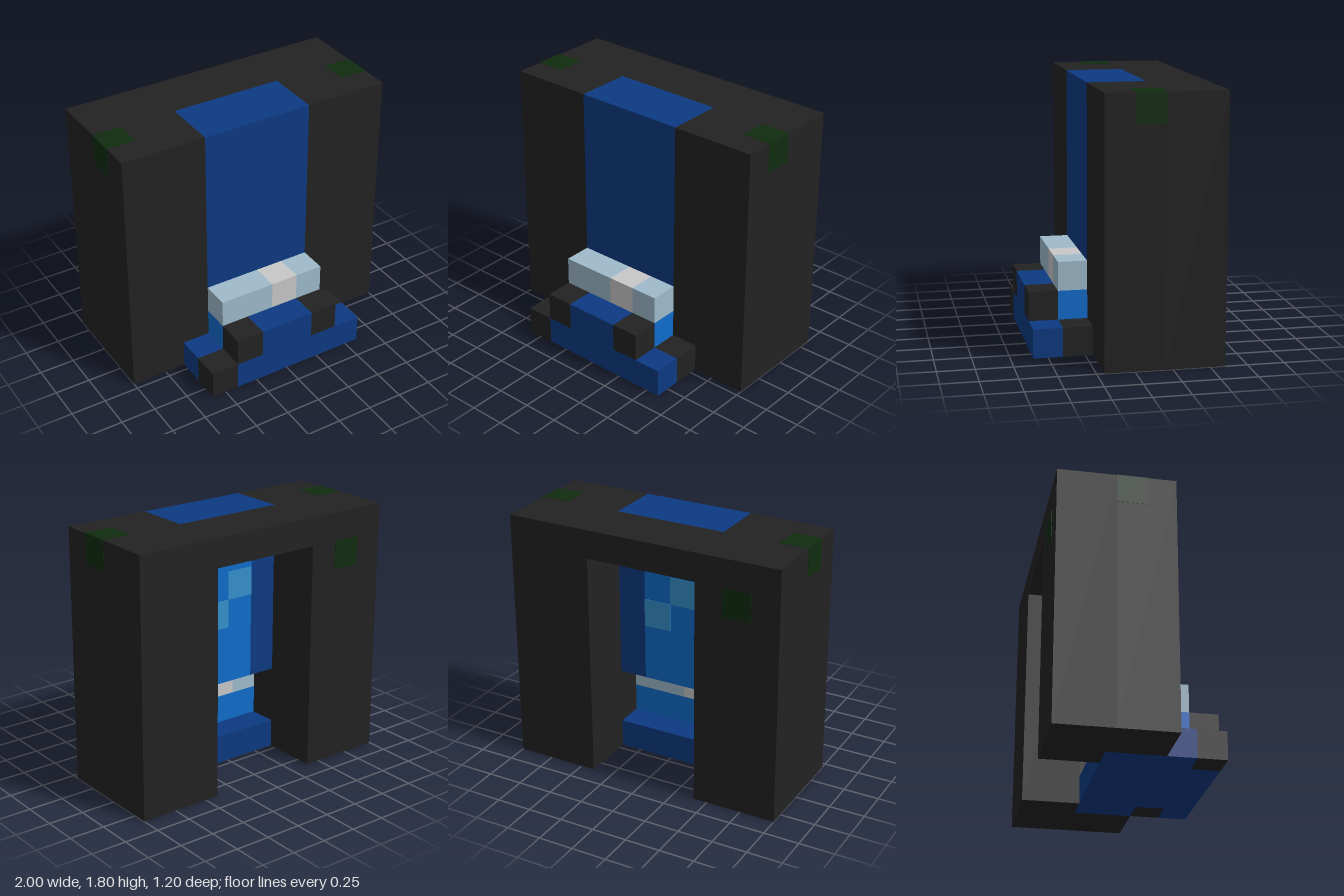
import * as THREE from 'three';

const U = 0.2; // block size

export function createModel() {
  const group = new THREE.Group();
  const mat = (name, color) => {
    const m = new THREE.MeshStandardMaterial({ color });
    m.name = name;
    return m;
  };
  const stone = mat('dark stone', 0x222222);
  const blue = mat('deep blue', 0x0c3a82);
  const water = mat('bright water', 0x0f6ccb);
  const glint = mat('water glint', 0x3590cc);
  const foam = mat('pale foam', 0x9fbbcc);
  const grey = mat('light grey', 0xc8c8c8);
  const moss = mat('dark moss', 0x0f2c0f);

  // Box spanning block coordinates, optionally grown a little as a painted skin
  const box = (name, m, [x0, x1], [y0, y1], [z0, z1], grow = 0) => {
    const g = new THREE.BoxGeometry((x1 - x0) * U + grow, (y1 - y0) * U + grow, (z1 - z0) * U + grow);
    const mesh = new THREE.Mesh(g, m);
    mesh.name = name;
    mesh.position.set((x0 + x1) / 2 * U, (y0 + y1) / 2 * U, (z0 + z1) / 2 * U);
    group.add(mesh);
  };
  const mirrored = ([a, b], s) => (s > 0 ? [a, b] : [-b, -a]);

  // Stone cliff: two walls joined by a lintel at the back
  for (const s of [1, -1]) {
    const side = s > 0 ? 'left' : 'right';
    box(side + 'WallBack', stone, mirrored([2, 5], s), [0, 9], [-3, -1]);
    box(side + 'WallFront', stone, mirrored([3, 5], s), [0, 9], [-1, 1]);
    box(side + 'WallInner', stone, mirrored([2, 3], s), [1, 9], [-1, 1]);
    box(side + 'MossCorner', moss, mirrored([4, 5], s), [8, 9], [-1, 0], 0.004);
    // Rear posts beside the inner water sheet
    box(side + 'FallPost', blue, mirrored([1, 2], s), [3, 8], [-1, 0]);
    // Rocks at the front of the pool
    box(side + 'Rock', stone, mirrored([1, 2], s), [1, 2], [2, 3]);
  }
  box('lintel', stone, [-2, 2], [8, 9], [-3, -1]);
  box('backMoss', moss, [-4, -3], [7, 8], [-3.015, -2.9]);

  // Waterfall column
  box('fallFront', blue, [-2, 2], [3, 9], [0, 1]);
  box('fallTop', blue, [-2, 2], [8, 9], [-1, 0]);
  box('fallInner', water, [-1, 1], [3, 8], [-1, 0]);
  box('glintLow', glint, [0, 1], [5, 6], [-1.015, -0.99]);
  box('glintHigh', glint, [-1, 0], [6, 7], [-1.015, -0.99]);

  // Foam ledge: one row in front, one behind the fall
  box('foamFrontRight', foam, [-2, 0], [2, 3], [1, 2]);
  box('foamFrontGrey', grey, [0, 1], [2, 3], [1, 2]);
  box('foamFrontLeft', foam, [1, 2], [2, 3], [1, 2]);
  box('foamBackRight', foam, [-2, -1], [2, 3], [0, 1]);
  box('foamBackGrey', grey, [-1, 0], [2, 3], [0, 1]);
  box('foamBackLeft', foam, [0, 2], [2, 3], [0, 1]);

  // Water under the foam
  box('lowerWater', water, [-2, 2], [1, 2], [0, 2]);
  box('frontSpill', blue, [-1, 1], [1, 2], [2, 3]);

  // Pool base with one stone corner on each side
  box('poolBack', blue, [-3, 3], [0, 1], [-1, 1]);
  box('poolMiddle', blue, [-3, 2], [0, 1], [1, 2]);
  box('poolFront', blue, [-2, 3], [0, 1], [2, 3]);
  box('poolStoneLeft', stone, [2, 3], [0, 1], [1, 2]);
  box('poolStoneRight', stone, [-3, -2], [0, 1], [2, 3]);

  return group;
}
